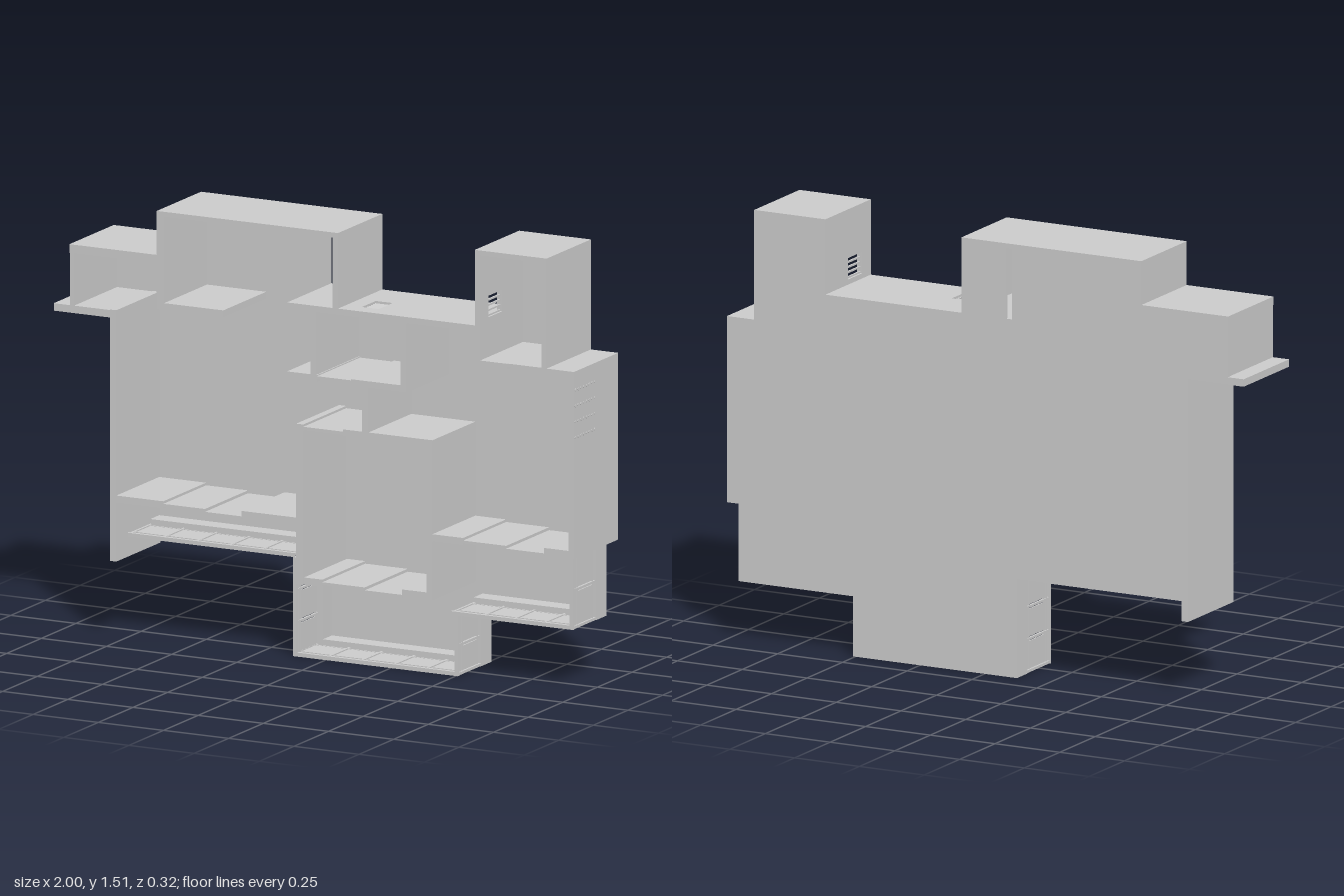
import * as THREE from 'three';

const B = -0.16, F = 0.16; // floor side and open side of the plan

export function createModel() {
  const model = new THREE.Group();
  const mat = new THREE.MeshStandardMaterial({ color: 0xcccccc, flatShading: true });

  function box(name, x0, x1, y0, y1, z0 = B, z1 = F) {
    const m = new THREE.Mesh(new THREE.BoxGeometry(x1 - x0, y1 - y0, z1 - z0), mat);
    m.position.set((x0 + x1) / 2, (y0 + y1) / 2, (z0 + z1) / 2);
    m.name = name;
    model.add(m);
    return m;
  }

  // Floor slab with a narrow slot
  const outline = [
    [-0.12, 0.005], [0.505, 0.005], [0.505, 0.215], [0.95, 0.215], [0.95, 0.48], [0.995, 0.48],
    [0.995, 1.13], [0.89, 1.13], [0.89, 1.513], [0.615, 1.513], [0.615, 1.25], [0.09, 1.25],
    [0.09, 1.513], [-0.605, 1.513], [-0.605, 1.36], [-0.94, 1.36], [-0.94, 1.13], [-0.785, 1.13],
    [-0.785, 0.345], [-0.12, 0.345],
  ];
  const floor = new THREE.Shape(outline.map(([x, y]) => new THREE.Vector2(x, y)));
  floor.holes.push(new THREE.Path([[-0.105, 1.25], [-0.105, 1.495], [-0.083, 1.495], [-0.083, 1.25]]
    .map(([x, y]) => new THREE.Vector2(x, y))));
  const slab = new THREE.Mesh(new THREE.ExtrudeGeometry(floor, { depth: 0.01, bevelEnabled: false }), mat);
  slab.position.z = B;
  slab.name = 'floorSlab';
  model.add(slab);

  // Outer walls: x0, x1, y0, y1
  [
    [-0.785, -0.76, 0.275, 1.15], [-1, -0.76, 1.122, 1.148], [-0.94, -0.605, 1.33, 1.36],
    [-0.605, -0.577, 1.17, 1.513], [-0.577, 0.09, 1.495, 1.513], [0.07, 0.09, 1.25, 1.495],
    [0.615, 0.89, 1.495, 1.513], [0.87, 0.89, 1.11, 1.495], [0.89, 0.995, 1.11, 1.13],
    [0.975, 0.995, 0.48, 1.11],
    [-0.76, -0.58, 0.48, 0.505], [-0.28, -0.07, 0.48, 0.505],
    [0.45, 0.57, 0.48, 0.505], [0.88, 0.975, 0.48, 0.505],
    [-0.04, 0.03, 0.275, 0.3], [0.335, 0.43, 0.275, 0.3],
  ].forEach(w => box('outerWall', ...w));
  box('entrySideWindow', -0.938, -0.922, 1.148, 1.33);

  // Inner walls
  [
    [-0.577, -0.35, 1.172, 1.195], [-0.07, -0.043, 0.275, 0.832], [0.43, 0.452, 0.275, 0.832],
    [0.11, 0.43, 0.81, 0.832], [0.182, 0.207, 0.832, 0.987], [-0.105, 0.01, 0.987, 1.01],
    [0.14, 0.352, 0.987, 1.01], [-0.015, 0.006, 1.01, 1.228], [0.33, 0.352, 1.01, 1.228],
    [0.635, 0.74, 1.11, 1.13],
  ].forEach(w => box('innerWall', ...w));

  // Doors
  [[-0.043, 0.11, 0.812, 0.824], [0.01, 0.14, 0.995, 1.006], [0.74, 0.87, 1.119, 1.131]]
    .forEach(d => box('door', ...d));

  // Sliding windows: two overlapping panes on offset tracks
  for (const [x0, x1, y] of [[-0.58, -0.28, 0.48], [0.57, 0.88, 0.48], [0.03, 0.335, 0.275]]) {
    const mid = (x0 + x1) / 2;
    box('slidingPane', x0, mid + 0.01, y + 0.006, y + 0.016);
    box('slidingPane', mid - 0.01, x1, y - 0.004, y + 0.006);
  }

  // Wall with a louvred opening above the bath
  const vy = [1.228, 1.25];
  box('bathWall', -0.105, 0.15, ...vy);
  box('bathWall', 0.215, 0.615, ...vy);
  box('bathWall', 0.15, 0.215, ...vy, B, 0);
  box('bathWall', 0.15, 0.215, ...vy, 0.1, F);
  for (let i = 0; i < 7; i++) {
    const louvre = box('bathLouvre', 0.15, 0.215, 1.237, 1.24, 0.002 + i * 0.0143, 0.014 + i * 0.0143);
    louvre.rotation.x = 0.6;
  }

  // Wall with a louvred opening at the tall room
  const vx = [0.615, 0.635];
  box('towerWall', ...vx, 1.11, 1.268);
  box('towerWall', ...vx, 1.345, 1.495);
  box('towerWall', ...vx, 1.268, 1.345, B, 0);
  box('towerWall', ...vx, 1.268, 1.345, 0.1, F);
  for (let i = 0; i < 5; i++)
    box('towerWindowBar', 0.622, 0.628, 1.268 + i * 0.0178, 1.274 + i * 0.0178, 0, 0.1);

  // Rows of small studs on the right outer wall
  const studGeo = new THREE.CylinderGeometry(0.005, 0.005, 0.004, 8).rotateZ(Math.PI / 2);
  for (const y of [0.9, 0.955, 1.01, 1.065])
    for (let i = 0; i < 8; i++) {
      const stud = new THREE.Mesh(studGeo, mat);
      stud.position.set(0.995, y, 0.01 + i * 0.02);
      stud.name = 'wallStud';
      model.add(stud);
    }

  // Straight balcony run along x or y: curb, rails, posts and glass
  function balconyRun(x0, y0, x1, y1, inX, inY) {
    const alongX = y0 === y1;
    const length = alongX ? x1 - x0 : y1 - y0;
    // piece from a to b along the run, from c to d inward from the outer edge
    const piece = (name, a, b, c, d, z0, z1) => {
      const s = alongX ? inY : inX;
      const o = (alongX ? y0 : x0);
      const p = Math.min(o + s * c, o + s * d), q = Math.max(o + s * c, o + s * d);
      if (alongX) box(name, x0 + a, x0 + b, p, q, z0, z1);
      else box(name, p, q, y0 + a, y0 + b, z0, z1);
    };
    piece('balconyCurb', 0, length, 0, 0.027, B, -0.085);
    piece('topRail', 0, length, 0, 0.014, 0.071, 0.08);
    piece('middleRail', 0, length, 0.004, 0.01, 0.052, 0.057);
    piece('lowerRail', 0, length, 0.004, 0.01, 0.037, 0.042);
    piece('bottomRail', 0, length, 0.004, 0.01, -0.07, -0.065);
    const bays = Math.max(1, Math.round(length / 0.13));
    const step = (length - 0.008) / bays;
    for (let i = 0; i <= bays; i++) {
      piece('railPost', i * step, i * step + 0.008, 0.003, 0.011, -0.085, 0.072);
      if (i < bays)
        piece('glassPanel', i * step + 0.012, (i + 1) * step - 0.004, 0.005, 0.009, -0.065, 0.037);
    }
  }
  balconyRun(-0.76, 0.345, -0.12, 0.345, 0, 1);
  balconyRun(-0.125, 0, -0.125, 0.345, 1, 0);
  balconyRun(-0.125, 0, 0.508, 0, 0, 1);
  balconyRun(0.508, 0, 0.508, 0.21, -1, 0);
  balconyRun(0.48, 0.21, 0.95, 0.21, 0, 1);
  balconyRun(0.95, 0.21, 0.95, 0.48, -1, 0);

  return model;
}
